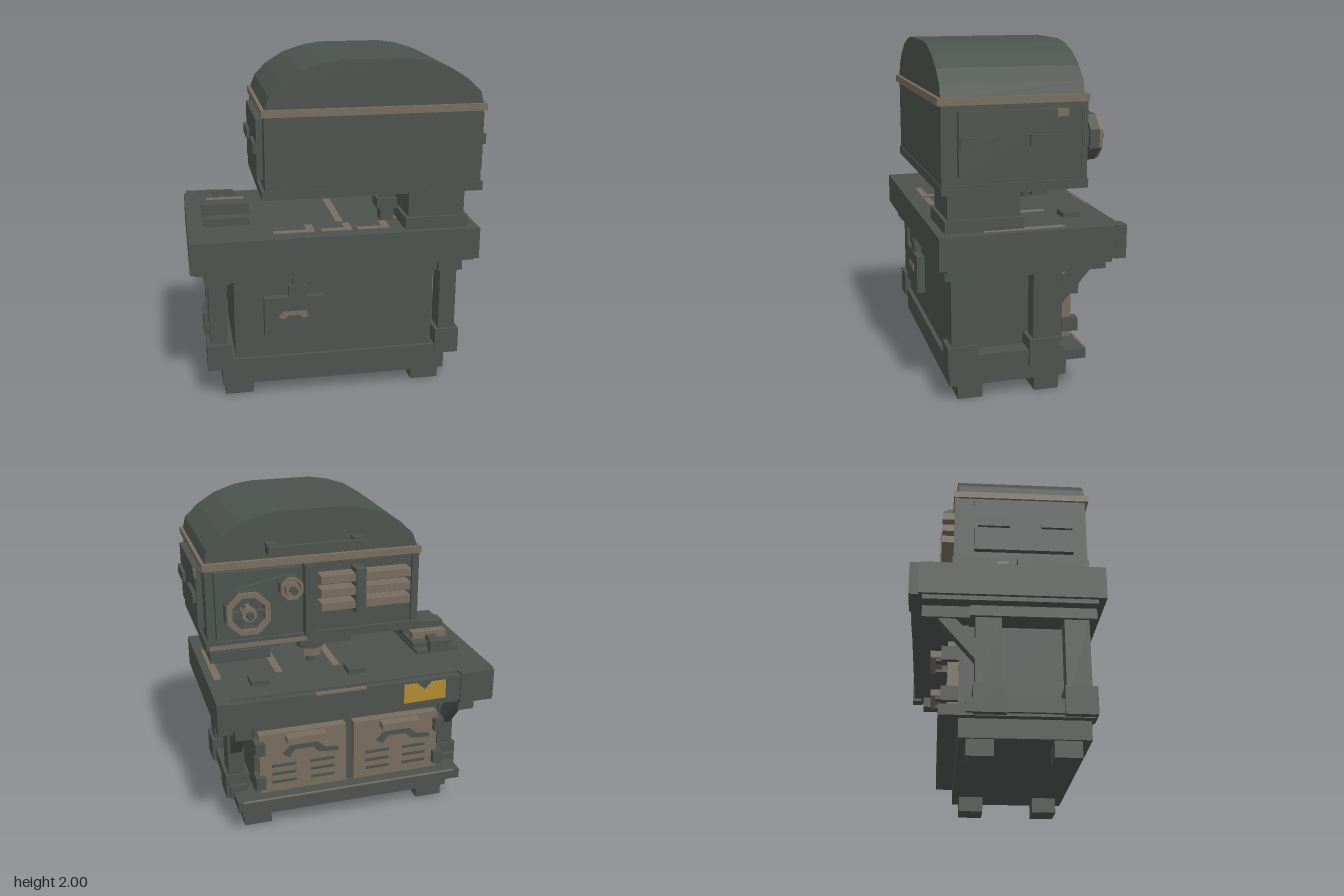
import * as THREE from 'three';

export function createModel() {
  const root = new THREE.Group();
  const mat = (name, color) => {
    const m = new THREE.MeshStandardMaterial({ color });
    m.name = name;
    return m;
  };
  const grey = mat('darkGreenGrey', 0x4c524d);
  const tan = mat('wornTan', 0x776c5e);
  const yellow = mat('warningYellow', 0xb08a32);

  const add = (name, geo, m) => {
    const mesh = new THREE.Mesh(geo, m);
    mesh.name = name;
    root.add(mesh);
    return mesh;
  };
  // box given by its extents
  const box = (name, x0, x1, y0, y1, z0, z1, m = grey) => {
    const mesh = add(name, new THREE.BoxGeometry(x1 - x0, y1 - y0, z1 - z0), m);
    mesh.position.set((x0 + x1) / 2, (y0 + y1) / 2, (z0 + z1) / 2);
    return mesh;
  };
  // outline in x and y, extruded from z0 to z1
  const slab = (name, pts, z0, z1, m = grey, hole) => {
    const s = new THREE.Shape(pts.map(p => new THREE.Vector2(...p)));
    if (hole) s.holes.push(new THREE.Path(hole.map(p => new THREE.Vector2(...p))));
    const g = new THREE.ExtrudeGeometry(s, { depth: z1 - z0, bevelEnabled: false });
    g.translate(0, 0, z0);
    return add(name, g, m);
  };
  const ngon = (cx, cy, r, n = 8) => Array.from({ length: n }, (_, i) => {
    const a = (i + 0.5) * 2 * Math.PI / n;
    return [cx + r * Math.cos(a), cy + r * Math.sin(a)];
  });

  // base, feet and lower plate
  for (const [x0, x1] of [[-0.68, -0.51], [0.46, 0.63]])
    for (const [z0, z1] of [[0.245, 0.39], [-0.21, -0.065]]) box('foot', x0, x1, 0, 0.09, z0, z1);
  box('base', -0.695, 0.65, 0.09, 0.2, -0.25, 0.44);
  box('basePlate', -0.74, 0.69, 0.195, 0.255, -0.355, 0.455);
  box('basePlateWornEdge', -0.7, 0.66, 0.25, 0.257, -0.357, -0.345, tan);

  // legs with sills, top rails and rear braces
  for (const [x0, x1, o0, o1] of [[-0.76, -0.66, -0.78, -0.635], [0.61, 0.71, 0.585, 0.73]]) {
    box('sill', o0 + 0.02, o1 - 0.02, 0.21, 0.29, -0.215, 0.455);
    box('topRail', o0, o1, 0.74, 0.81, -0.2, 0.48);
    box('braceHead', x0, x1, 0.735, 0.81, -0.455, -0.2);
    for (const [z0, z1] of [[0.305, 0.44], [-0.17, -0.03]]) {
      box('leg', x0, x1, 0.25, 0.75, z0, z1);
      box('legFoot', o0, o1, 0.2, 0.355, z0 - 0.01, z1 + 0.025);
    }
    const brace = slab('brace', [[0.15, 0.48], [0.375, 0.74], [0.28, 0.74], [0.15, 0.6]], 0, 0.07);
    brace.rotation.y = Math.PI / 2;
    brace.position.x = (x0 + x1) / 2 - 0.035;
  }

  // cabinet
  box('cabinet', -0.615, 0.565, 0.25, 0.81, -0.25, 0.43);
  box('frontRail', -0.64, 0.6, 0.74, 0.81, 0.4, 0.455);

  // cabinet doors with vents, handles and hinges
  for (const [x0, x1, outer] of [[-0.59, -0.045, -0.59], [0.005, 0.545, 0.545]]) {
    box('door', x0, x1, 0.28, 0.67, -0.31, -0.25, tan);
    const c = (x0 + x1) / 2;
    for (const dx of [-0.12, 0.12])
      for (let i = 0; i < 3; i++)
        box('doorVent', c + dx - 0.075, c + dx + 0.075, 0.335 + i * 0.055, 0.353 + i * 0.055, -0.314, -0.309);
    slab('doorWear', [[c - 0.22, 0.5], [c - 0.1, 0.51], [c - 0.06, 0.55], [c + 0.05, 0.55], [c + 0.09, 0.5],
      [c + 0.13, 0.53], [c + 0.08, 0.58], [c - 0.09, 0.58], [c - 0.14, 0.535], [c - 0.22, 0.53]], -0.314, -0.309);
    box('doorHandle', c - 0.12, c + 0.12, 0.64, 0.68, -0.405, -0.34, tan);
    for (const s of [-1, 1])
      box('handleMount', c + s * 0.08 - 0.025, c + s * 0.08 + 0.025, 0.625, 0.665, -0.375, -0.3);
    for (const y of [0.32, 0.55])
      box('hinge', outer - 0.03, outer + 0.03, y, y + 0.08, -0.345, -0.25);
  }

  // hanging plate on the front
  box('hangingPlate', -0.445, -0.09, 0.4, 0.635, 0.42, 0.48);
  box('hangerClamp', -0.3, -0.195, 0.63, 0.7, 0.42, 0.475);
  box('hangerStrap', -0.275, -0.215, 0.7, 0.82, 0.42, 0.47);
  slab('plateWear', [[-0.365, 0.515], [-0.33, 0.505], [-0.31, 0.525], [-0.24, 0.525], [-0.22, 0.505],
    [-0.19, 0.515], [-0.2, 0.55], [-0.34, 0.55]], 0.478, 0.485, tan);

  // table
  box('tableUnderside', -0.84, 0.8, 0.8, 0.83, -0.455, 0.48);
  box('tableTop', -0.86, 0.815, 0.825, 1.01, -0.475, 0.525);
  box('tableBackStrip', -0.64, 0.74, 0.84, 1.0, -0.517, -0.47);
  box('tableCapWide', -0.845, -0.635, 0.822, 1.012, -0.527, -0.47);
  box('tableCapNarrow', 0.735, 0.818, 0.822, 1.012, -0.53, -0.47);
  slab('warningPatch', [[-0.54, 0.87], [-0.28, 0.865], [-0.28, 0.985], [-0.36, 0.985], [-0.41, 0.94],
    [-0.45, 0.985], [-0.54, 0.985]], -0.522, -0.516, yellow);
  box('stripWear', -0.05, 0.25, 0.99, 1.003, -0.519, -0.5, tan);
  for (const x of [0.03, 0.385, 0.75])
    box('tableSlot', x - 0.022, x + 0.022, 1.005, 1.014, -0.19, 0.27, tan);
  for (const [x0, x1] of [[-0.38, -0.14], [-0.1, 0.08], [0.11, 0.3]]) {
    box('tableWear', x0, x1, 1.005, 1.014, 0.39, 0.43, tan);
    box('tableWearEnd', x1 - 0.045, x1, 1.005, 1.014, 0.3, 0.39, tan);
  }
  for (const x of [-0.052, 0.53]) box('tableStop', x - 0.053, x + 0.053, 1.01, 1.04, -0.34, -0.24);

  // vise
  box('viseBase', -0.765, -0.49, 1.01, 1.03, -0.18, 0.24);
  box('viseBed', -0.755, -0.495, 1.03, 1.055, -0.12, 0.235);
  box('viseFixedJaw', -0.76, -0.49, 1.05, 1.12, 0.06, 0.16);
  box('viseMovingJaw', -0.735, -0.51, 1.05, 1.1, -0.05, 0.01, tan);
  box('viseScrew', -0.66, -0.595, 1.03, 1.08, -0.19, -0.05);
  box('viseKnob', -0.69, -0.56, 1.035, 1.1, -0.22, -0.18);

  // neck and guide column
  box('neckBase', 0.38, 0.75, 1.01, 1.08, 0.04, 0.48);
  box('neck', 0.4, 0.73, 1.08, 1.25, 0.055, 0.46);
  box('guideColumn', 0.275, 0.355, 1.01, 1.25, 0.2, 0.29);
  box('guideCollar', 0.25, 0.37, 1.09, 1.15, 0.18, 0.31);

  // spindle under the head
  box('spindleMount', -0.04, 0.27, 1.19, 1.24, -0.255, -0.05);
  for (const [name, r, y0, y1, m] of [['spindleHousing', 0.085, 1.15, 1.2, grey],
    ['spindleChuck', 0.07, 1.095, 1.155, tan], ['spindleTip', 0.027, 1.05, 1.1, grey]]) {
    const g = new THREE.CylinderGeometry(r, r, y1 - y0, 8).toNonIndexed();
    g.computeVertexNormals();
    add(name, g, m).position.set(0.18, (y0 + y1) / 2, -0.14);
  }
  slab('underHook', [[-0.15, 1.24], [-0.09, 1.15], [0.02, 1.15], [0.075, 1.24], [0.04, 1.24],
    [0, 1.18], [-0.075, 1.18], [-0.115, 1.24]], -0.01, 0.035);

  // head with trims and arched lid
  box('head', -0.43, 0.805, 1.24, 1.72, -0.27, 0.505);
  box('headLowerTrim', -0.45, 0.82, 1.235, 1.285, -0.295, 0.51);
  box('headUpperTrim', -0.445, 0.82, 1.7, 1.74, -0.295, 0.525, tan);
  slab('archedLid', [[-0.43, 1.73], [0.805, 1.73], [0.785, 1.805], [0.705, 1.88], [0.6, 1.945], [0.475, 1.985],
    [0.37, 2], [0, 2], [-0.11, 1.982], [-0.225, 1.945], [-0.33, 1.88], [-0.4, 1.81]], -0.27, 0.505);
  box('lowerTrimWear', 0.24, 0.8, 1.24, 1.265, -0.3, -0.294, tan);

  // side panels with two grips each
  for (const [x0, x1, g0, g1] of [[0.8, 0.84, 0.835, 0.86], [-0.465, -0.425, -0.485, -0.46]]) {
    box('sidePanel', x0, x1, 1.33, 1.67, -0.17, 0.42);
    box('sideGrip', g0, g1, 1.48, 1.54, 0.23, 0.415);
    box('sideGrip', g0, g1, 1.48, 1.54, -0.15, 0.04);
  }
  box('sidePanelWear', 0.836, 0.844, 1.63, 1.671, -0.171, -0.11, tan);

  // rear lid handle
  box('lidHandle', -0.09, 0.465, 1.785, 1.825, -0.355, -0.325);
  for (const x of [-0.09, 0.4]) box('lidHandleMount', x, x + 0.065, 1.775, 1.835, -0.33, -0.26);

  // rear louvres and posts
  for (const y of [1.43, 1.51, 1.59]) box('louvre', -0.36, 0.17, y, y + 0.045, -0.36, -0.26, tan);
  box('louvrePost', -0.09, -0.03, 1.4, 1.66, -0.37, -0.26);
  box('rearPost', 0.2, 0.255, 1.28, 1.7, -0.335, -0.26);
  for (const x of [-0.435, 0.77]) box('cornerPost', x, x + 0.04, 1.28, 1.7, -0.29, -0.26);
  box('pulleyPlate', 0.27, 0.76, 1.3, 1.69, -0.31, -0.26);

  // pulley wheels: rim, spokes, hub and axle
  const pulley = (x, y, r, spokes) => {
    slab('pulleyBack', ngon(x, y, r * 0.8), -0.35, -0.3);
    slab('pulleyRim', ngon(x, y, r), -0.395, -0.34, grey, ngon(x, y, r * 0.72));
    slab('pulleyRimFace', ngon(x, y, r * 0.95), -0.415, -0.395, tan, ngon(x, y, r * 0.72));
    for (let i = 0; i < spokes; i++) {
      const s = add('pulleySpoke', new THREE.BoxGeometry(r * 1.6, r * 0.16, 0.03), grey);
      s.position.set(x, y, -0.385);
      s.rotation.z = i * Math.PI / spokes;
    }
    slab('pulleyHub', ngon(x, y, 0.042), -0.43, -0.34, tan);
    slab('pulleyAxle', ngon(x, y, 0.022), -0.46, -0.42);
  };
  pulley(0.595, 1.48, 0.137, 3);
  pulley(0.35, 1.6, 0.07, 2);

  // drive belt runs
  for (const [ax, ay, bx, by] of [[0.645, 1.6, 0.375, 1.66], [0.54, 1.37, 0.325, 1.545]]) {
    const b = add('driveBelt', new THREE.BoxGeometry(Math.hypot(bx - ax, by - ay), 0.018, 0.03), grey);
    b.position.set((ax + bx) / 2, (ay + by) / 2, -0.36);
    b.rotation.z = Math.atan2(by - ay, bx - ax);
  }
  return root;
}
